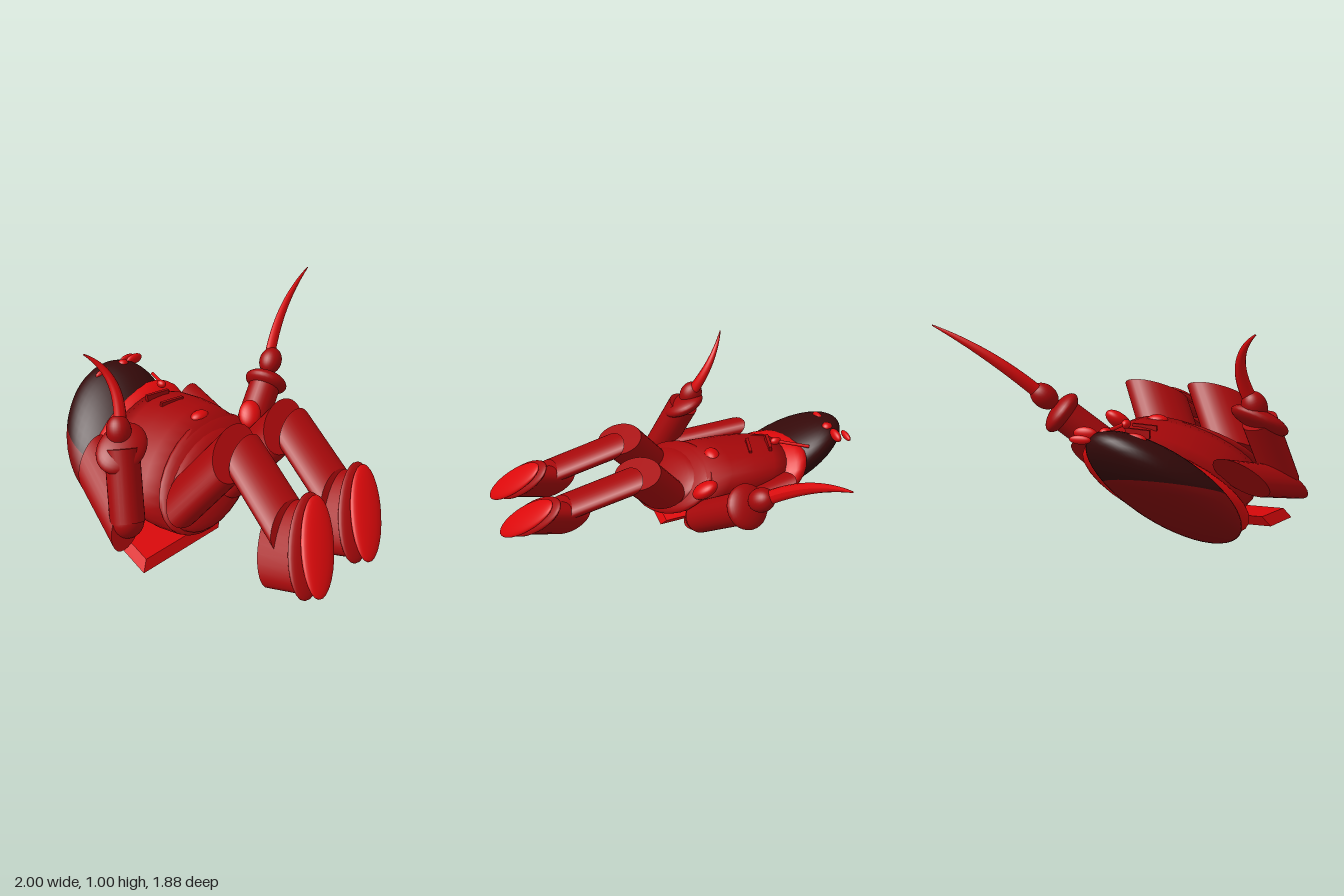
import * as THREE from 'three';

const V = (x, y, z) => new THREE.Vector3(x, y, z);

export function createModel() {
  const group = new THREE.Group();
  const material = (name, color) => {
    const m = new THREE.MeshStandardMaterial({ color });
    m.name = name;
    return m;
  };
  const bright = material('bright red', 0xdc080a);
  const red = material('deep red', 0xa6080a);
  const maroon = material('maroon', 0x86090b);
  const dark = material('dark face', 0x340909);

  // Unit shapes spanning -1..1, placed by a centre and three (possibly slanted) half axes
  const ball = () => new THREE.SphereGeometry(1, 28, 18);
  const drum = () => new THREE.CylinderGeometry(1, 1, 2, 28);
  const box = () => new THREE.BoxGeometry(2, 2, 2);
  const part = (name, geo, mat, c, a, b, d) => {
    const A = V(...a), B = V(...b), D = V(...d);
    if (A.clone().cross(B).dot(D) < 0) A.negate();
    geo.applyMatrix4(new THREE.Matrix4().makeBasis(A, B, D).setPosition(...c));
    const mesh = new THREE.Mesh(geo, mat);
    mesh.name = name;
    group.add(mesh);
  };
  // Part between two centres with cross-section half axes w (along z) and d
  const limb = (name, p, q, w, d, geo = drum()) => {
    const P = V(...p), Q = V(...q);
    const c = P.clone().add(Q).multiplyScalar(0.5);
    const b = Q.sub(P).multiplyScalar(0.5);
    part(name, geo, red, c.toArray(), [0, 0, -w], b.toArray(), d);
  };
  // Round part squared to the direction n, with given half length
  const round = (name, geo, mat, c, n, half, r) => {
    const a = V(1, 0, 0).cross(n).normalize().multiplyScalar(r);
    const d = a.clone().cross(n.clone().normalize());
    const b = n.clone().setLength(half);
    part(name, geo, mat, c.toArray(), a.toArray(), b.toArray(), d.toArray());
  };

  // Head: dark face half and maroon back half
  const halfBall = (start) => new THREE.SphereGeometry(1, 24, 24, start, Math.PI);
  for (const [name, start, mat] of [['face', 0, dark], ['headBack', Math.PI, maroon]])
    part(name, halfBall(start), mat, [-0.68, 0.31, 0.365], [0, 0, -0.28], [-0.29, 0.11, 0], [-0.13, 0.28, -0.19]);

  // Collar ring under the head
  part('collar', ball(), bright, [-0.535, 0.275, 0.33], [0, 0, -0.33], [-0.145, 0.02, 0], [-0.14, 0.255, -0.2]);

  // Small details: centre and half sizes along z, x and y
  const details = [
    ['nose', [-0.88, 0.595, 0.15], 0.03, 0.03, 0.025],
    ['rightEye', [-0.89, 0.59, 0.06], 0.055, 0.022, 0.03],
    ['leftEye', [-0.89, 0.575, 0.28], 0.06, 0.022, 0.03],
    ['brow', [-0.955, 0.575, 0.06], 0.05, 0.015, 0.02],
    ['buckle', [-0.2, 0.53, 0.19], 0.055, 0.04, 0.03],
    ['stickKnob', [-0.56, 0.575, 0.14], 0.022, 0.03, 0.022],
  ];
  for (const [name, c, z, x, y] of details)
    part(name, ball(), bright, c, [0, 0, -z], [-x, 0, 0], [0, y, 0]);

  // Barrel torso
  const profile = [[0, -1], [0.97, -1], [1.02, -0.5], [1.03, 0], [1, 0.5], [0.9, 1], [0, 1]]
    .map(([x, y]) => new THREE.Vector2(x, y));
  limb('torso', [-0.01, 0.325, 0.33], [-0.53, 0.3, 0.33], 0.31, [-0.13, 0.22, -0.17],
    new THREE.LatheGeometry(profile, 32));

  // Belt, pelvis and side pouch
  part('belt', ball(), red, [0, 0.335, 0.33], [0, 0, -0.33], [-0.08, 0.01, 0], [-0.155, 0.2, -0.16]);
  part('pelvis', ball(), red, [0.04, 0.325, 0.35], [0, 0, -0.28], [-0.08, 0, 0], [-0.13, 0.17, -0.14]);
  part('hipPouch', ball(), bright, [-0.07, 0.49, -0.06], [0, 0, -0.06], [-0.06, 0.01, 0], [-0.02, 0.06, -0.03]);

  // Chest slits and a thin stick
  for (const x of [-0.54, -0.42])
    part('chestSlit', box(), red, [x, 0.53, 0.19], [-0.015, 0, 0.065], [-0.009, 0, 0], [0, 0.02, 0]);
  round('stick', drum(), bright, V(-0.65, 0.562, 0.095), V(0.16, 0.025, 0.07), 0.088, 0.009);

  // Flat plate under the back
  part('backPlate', box(), bright, [-0.138, 0.06, 0.54], [0, 0, -0.26], [-0.19, 0.03, -0.025], [-0.012, 0.026, -0.02]);

  // Curved blade that narrows to a point, flattened sideways
  const blade = (base, mid, tip) => {
    const P = V(...base), Q = V(...tip);
    const control = V(...mid).multiplyScalar(2).addScaledVector(P, -0.5).addScaledVector(Q, -0.5);
    const curve = new THREE.QuadraticBezierCurve3(P, control, Q);
    const rings = 16, sides = 12;
    const geo = new THREE.TubeGeometry(curve, rings, 0.036, sides);
    const pos = geo.attributes.position, v = V(0, 0, 0);
    for (let i = 0; i < pos.count; i++) {
      const t = Math.floor(i / (sides + 1)) / rings;
      const c = curve.getPointAt(t);
      v.fromBufferAttribute(pos, i).lerp(c, 0.9 * t ** 1.8);
      pos.setXYZ(i, c.x + (v.x - c.x) * 0.7, v.y, v.z);
    }
    geo.computeVertexNormals();
    const mesh = new THREE.Mesh(geo, bright);
    mesh.name = 'curvedBlade';
    group.add(mesh);
  };

  // Arms: shoulder, elbow, wrist, hand, blade points
  const arms = [
    { s: [-0.5, 0.34, 0.68], e: [-0.08, 0.23, 0.81], w: [-0.21, 0.56, 0.71], h: [-0.25, 0.635, 0.69],
      b: [[-0.25, 0.65, 0.68], [-0.345, 0.85, 0.635], [-0.44, 1, 0.72]] },
    { s: [-0.52, 0.38, -0.01], e: [-0.07, 0.25, 0.02], w: [-0.2, 0.54, -0.33], h: [-0.24, 0.63, -0.41],
      b: [[-0.27, 0.66, -0.44], [-0.37, 0.85, -0.67], [-0.43, 1, -0.94]] },
  ];
  for (const { s, e, w, h, b } of arms) {
    const E = V(...e), W = V(...w), dir = W.clone().sub(E);
    limb('upperArm', s, e, 0.1, [-0.06, 0.1, -0.08]);
    part('elbow', ball(), red, e, [0, 0, -0.085], [-0.08, 0, 0], [0, 0.085, 0]);
    round('forearm', drum(), red, E.clone().lerp(W, 0.5), dir, dir.length() / 2, 0.088);
    if (w[2] > 0) part('cuff', ball(), red, w, [0, 0.05, -0.14], [0.015, 0.045, 0.015], [0.11, -0.05, 0]);
    else round('cuff', ball(), red, W, dir, 0.055, 0.12);
    round('hand', ball(), red, V(...h), dir, 0.08, 0.063);
    blade(...b);
  }

  // Legs: thigh, shin, boot and sole, repeated across the width
  for (const o of [0, 0.355]) {
    limb('thigh', [0.09, 0.33, 0.2 + o], [0.27, 0.6, 0.05 + o], 0.145, [-0.1, 0.08, -0.08]);
    limb('shin', [0.32, 0.58, 0.02 + o], [0.68, 0.42, 0.12 + o], 0.115, [-0.05, 0.08, -0.06]);
    limb('boot', [0.635, 0.32, 0.16 + o], [0.82, 0.38, 0.14 + o], 0.115, [-0.1, 0.135, -0.12]);
    part('bootTrim', ball(), red, [0.82, 0.39, 0.14 + o], [0, 0, -0.13], [-0.035, 0, 0], [-0.125, 0.16, -0.13]);
    part('sole', ball(), bright, [0.865, 0.4, 0.125 + o], [0, 0, -0.105], [-0.035, 0, 0], [-0.13, 0.155, -0.115]);
  }
  return group;
}
